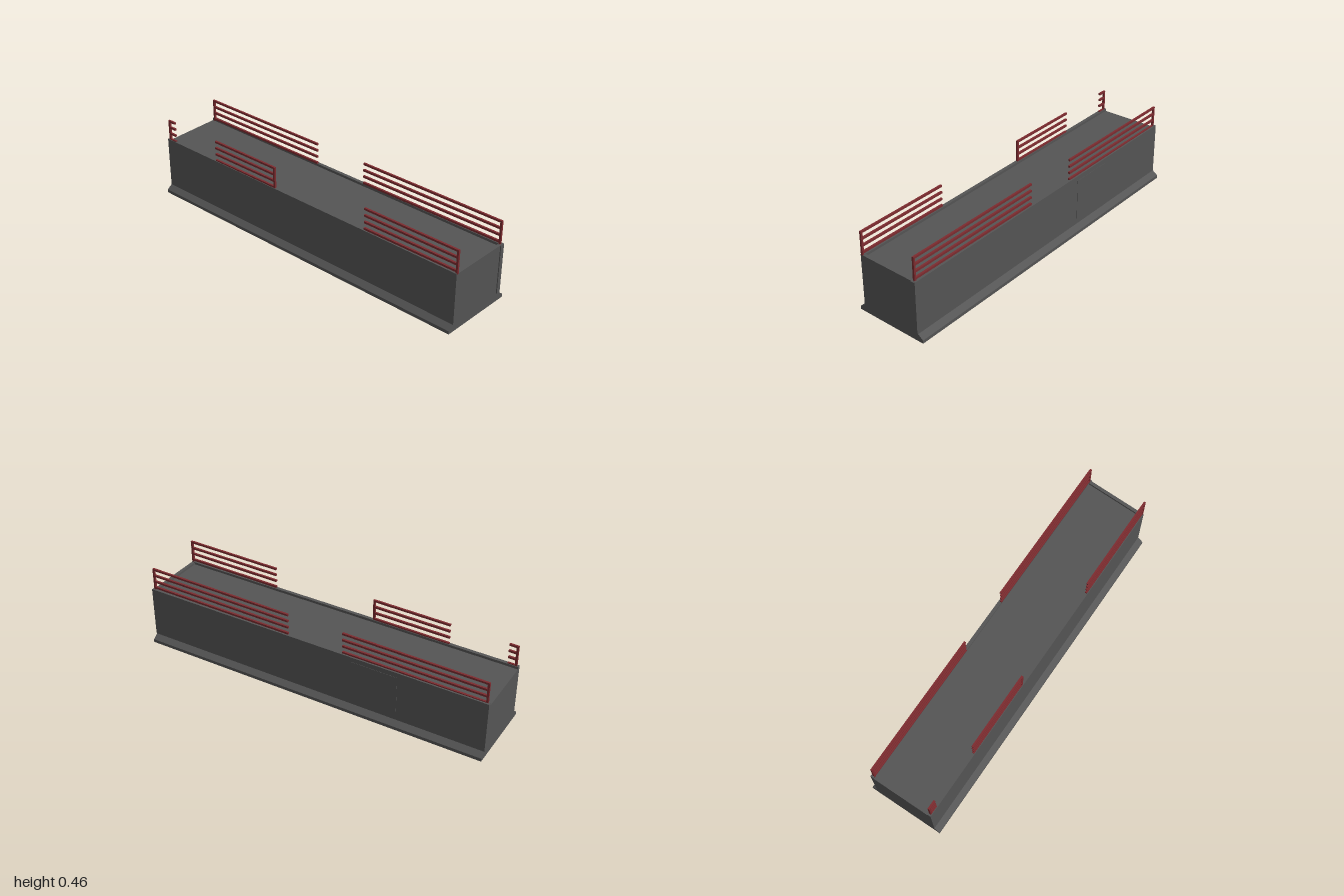
import * as THREE from 'three';

const hullMat = new THREE.MeshStandardMaterial({ color: 0x555555, flatShading: true });
const railMat = new THREE.MeshStandardMaterial({ color: 0x7d2b2f, flatShading: true });

// Box given by its min and max on each axis
function box(parent, name, mat, [x0, x1], [y0, y1], [z0, z1]) {
  const mesh = new THREE.Mesh(new THREE.BoxGeometry(x1 - x0, y1 - y0, z1 - z0), mat);
  mesh.position.set((x0 + x1) / 2, (y0 + y1) / 2, (z0 + z1) / 2);
  mesh.name = name;
  parent.add(mesh);
  return mesh;
}

// Rises gently to the back, and the front end is slightly skewed
function tilt(geometry) {
  const p = geometry.attributes.position;
  for (let i = 0; i < p.count; i++) {
    const x = p.getX(i), z = p.getZ(i);
    p.setY(i, p.getY(i) + 0.006 * (1 - z));
    if (z > 0.5) p.setZ(i, z - 0.035 * (0.213 - x));
  }
  geometry.computeVertexNormals();
  return geometry;
}

// Four bars between two z positions, with a post at each listed z
function railing(x, z0, z1, posts) {
  const g = new THREE.Group();
  g.name = 'railing';
  const r = 0.0055;
  for (let i = 0; i < 4; i++) {
    const y = 0.343 + i * 0.0377;
    box(g, 'railBar', railMat, [x - r, x + r], [y - r, y + r], [z0, z1]);
  }
  for (const z of posts) {
    box(g, 'railPost', railMat, [x - r, x + r], [0.328, 0.461], [z - r, z + r]);
  }
  return g;
}

export function createModel() {
  const model = new THREE.Group();
  model.name = 'railedBlock';

  // Hull: flared foot, straight walls, curbs along a sunken deck
  const half = [[0.213, 0], [0.213, 0.018], [0.182, 0.04], [0.182, 0.332], [0.164, 0.332], [0.164, 0.318]];
  const outline = [...half, ...half.slice().reverse().map(([x, y]) => [-x, y])];
  const shape = new THREE.Shape(outline.map(([x, y]) => new THREE.Vector2(x, y)));
  const hullGeo = new THREE.ExtrudeGeometry(shape, { depth: 1.997, bevelEnabled: false });
  hullGeo.translate(0, 0, -1);
  const hull = new THREE.Mesh(tilt(hullGeo), hullMat);
  hull.name = 'hull';
  model.add(hull);

  // Curb across the front of the deck
  const curbGeo = new THREE.BoxGeometry(0.33, 0.016, 0.018).translate(0, 0.322, 0.988);
  const curb = new THREE.Mesh(tilt(curbGeo), hullMat);
  curb.name = 'frontCurb';
  model.add(curb);

  // Raised corner strip on the front, and the side door
  box(model, 'cornerStrip', hullMat, [0.157, 0.182], [0.045, 0.331], [0.98, 1]);
  box(model, 'sideDoor', hullMat, [0.17, 0.1835], [0.05, 0.313], [-0.51, -0.25]);

  // Railings on the left side
  model.add(railing(0.168, 0.13, 0.99, [0.985]));
  model.add(railing(0.168, -0.99, -0.19, [-0.985]));

  // Railings on the right side, with wider gaps
  model.add(railing(-0.173, 0.42, 0.985, [0.979]));
  model.add(railing(-0.173, -0.62, -0.18, [-0.185]));
  model.add(railing(-0.173, -0.99, -0.94, [-0.985]));

  return model;
}
